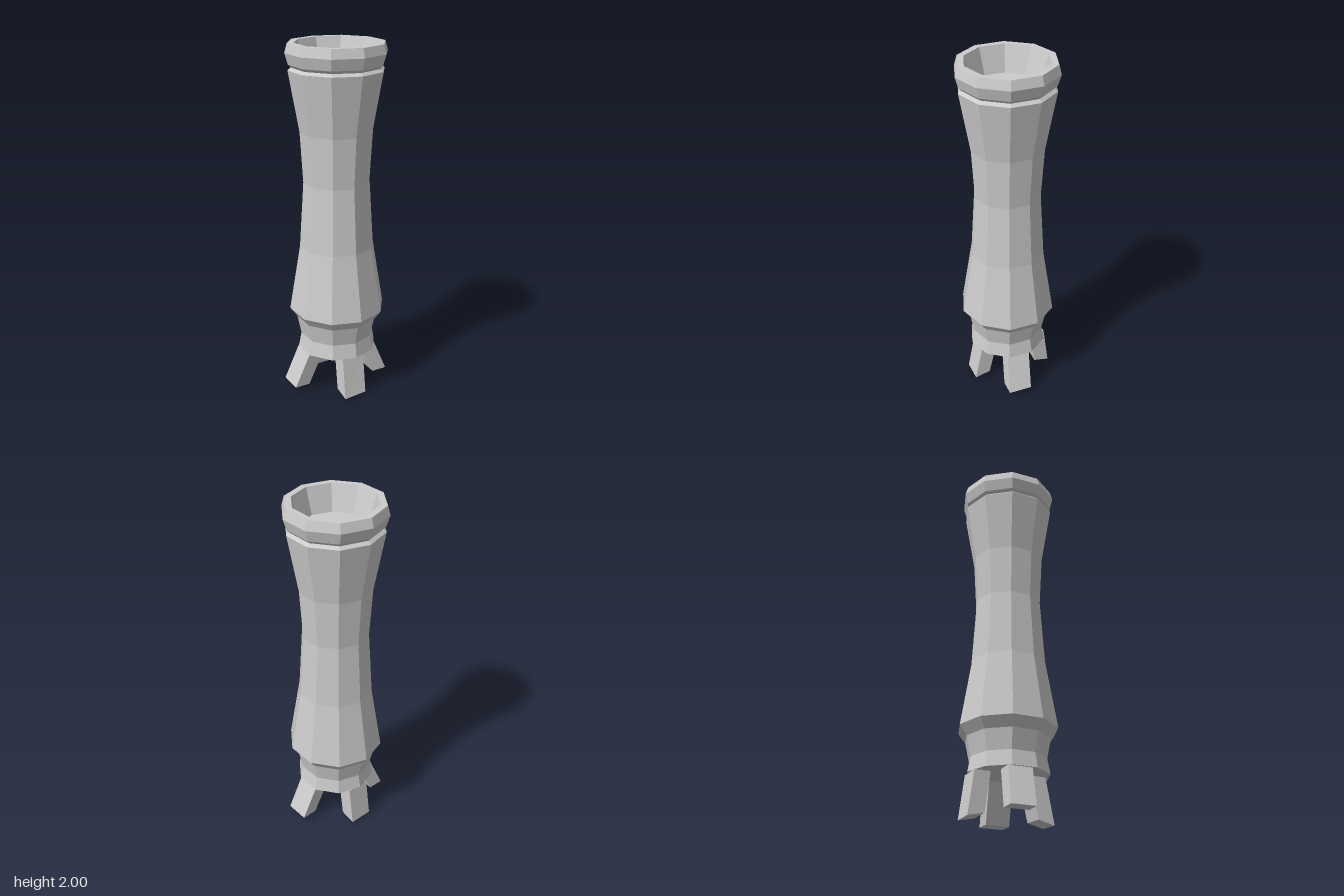
import * as THREE from 'three';

const SIDES = 10;

function material(side = THREE.FrontSide) {
  return new THREE.MeshStandardMaterial({ color: 0xcccccc, flatShading: true, side });
}

// Faceted ring of revolution, profile listed from bottom to top as [radius, y]
function turned(name, profile) {
  const points = profile.map(([r, y]) => new THREE.Vector2(r, y));
  const mesh = new THREE.Mesh(new THREE.LatheGeometry(points, SIDES), material());
  mesh.name = name;
  return mesh;
}

// Slanted block whose ends stay near level; tiltX and tiltZ slope the foot
function leg({ name, top, foot, size, tiltX = 0, tiltZ = 0 }) {
  const geometry = new THREE.BoxGeometry(size[0], 1, size[1]);
  const p = geometry.attributes.position;
  for (let i = 0; i < p.count; i++) {
    const x = p.getX(i), z = p.getZ(i);
    const end = p.getY(i) > 0 ? top : foot;
    const slope = end === foot ? tiltX * x + tiltZ * z : 0;
    p.setXYZ(i, end[0] + x, end[1] + slope, end[2] + z);
  }
  geometry.computeVertexNormals();
  const mesh = new THREE.Mesh(geometry, material());
  mesh.name = name;
  return mesh;
}

export function createModel() {
  const model = new THREE.Group();
  model.name = 'footedColumn';

  // Closed base, flared collar and waisted shaft
  model.add(turned('shaft', [
    [0, 0.25], [0.226, 0.25], [0.21, 0.335], [0.233, 0.445], [0.273, 0.5],
    [0.21, 0.88], [0.186, 1.25], [0.202, 1.53], [0.26, 1.86], [0.243, 1.875],
  ]));

  // Rim with a shallow tapered bowl
  model.add(turned('rim', [
    [0.243, 1.875], [0.257, 1.89], [0.275, 1.95], [0.261, 2],
    [0.225, 2], [0.183, 1.86], [0, 1.86],
  ]));

  // Four splayed legs, slightly twisted around the base
  const legs = [
    { name: 'leftLeg', top: [0.155, 0.252, 0.01], foot: [0.241, 0.037, 0.028], size: [0.09, 0.135] },
    { name: 'rightLeg', top: [-0.158, 0.252, -0.02], foot: [-0.244, 0.035, -0.042], size: [0.09, 0.135] },
    { name: 'frontLeg', top: [0, 0.252, 0.14], foot: [-0.007, 0.017, 0.184], size: [0.135, 0.09], tiltX: 0.07, tiltZ: -0.25 },
    { name: 'backLeg', top: [0.005, 0.252, -0.166], foot: [0.005, 0.024, -0.199], size: [0.135, 0.09], tiltZ: 0.2 },
  ];
  legs.forEach((spec) => model.add(leg(spec)));

  return model;
}
